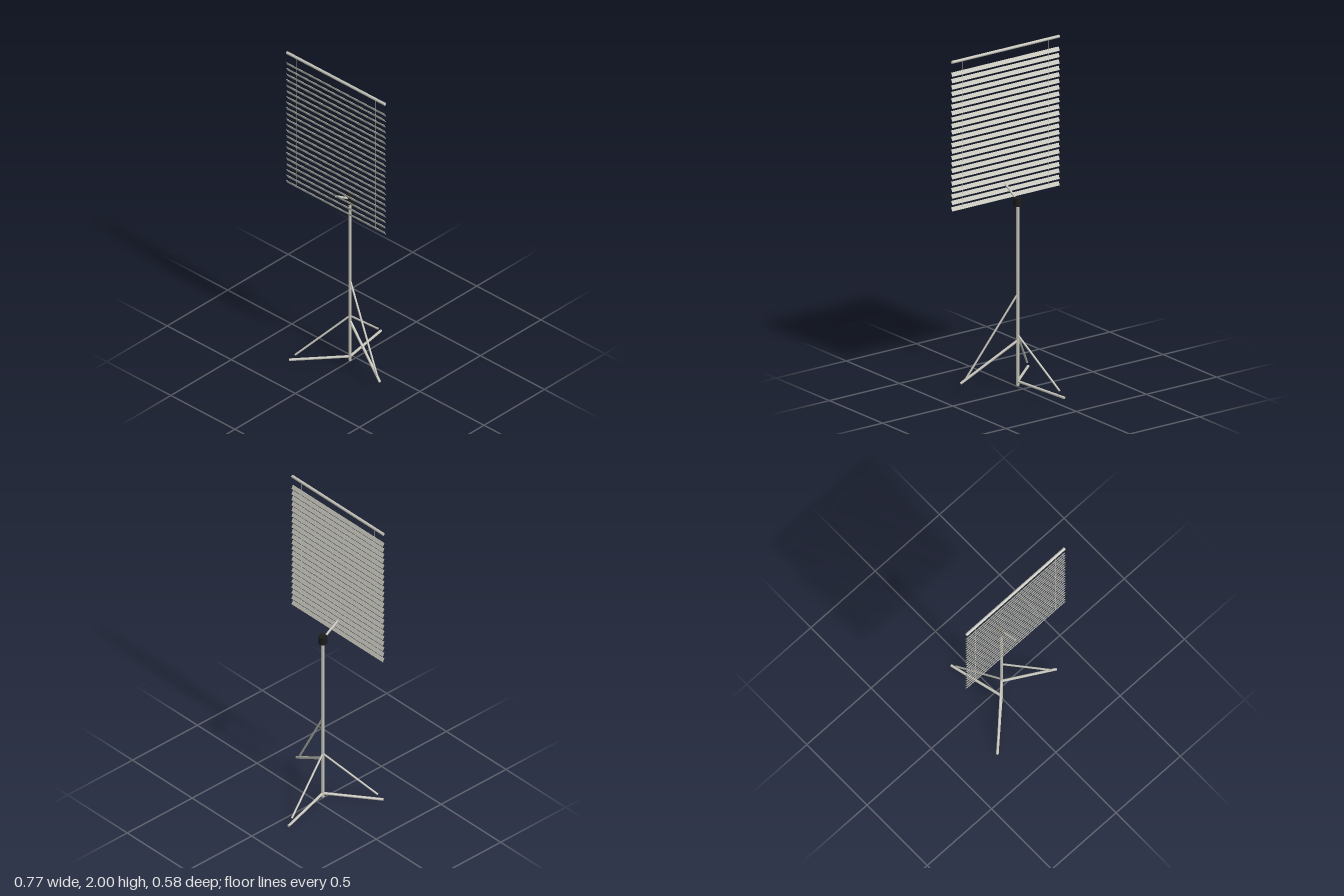
import * as THREE from 'three';

export function createModel() {
  const model = new THREE.Group();
  model.name = 'blindStand';

  const material = (name, color) => {
    const m = new THREE.MeshStandardMaterial({ color });
    m.name = name;
    return m;
  };
  const metal = material('warm grey metal', 0xc4c4ba);
  const black = material('black plastic', 0x1c1c1c);

  const POLE_Z = 0.048;
  const BLIND_Z = 0.164;
  const UP = new THREE.Vector3(0, 1, 0);

  // Round bar between two points
  function bar(name, from, to, radius, mat = metal, sides = 12) {
    const a = new THREE.Vector3(...from);
    const dir = new THREE.Vector3(...to).sub(a);
    const length = dir.length();
    const mesh = new THREE.Mesh(new THREE.CylinderGeometry(radius, radius, length, sides), mat);
    mesh.name = name;
    mesh.position.copy(a).addScaledVector(dir, 0.5);
    mesh.quaternion.setFromUnitVectors(UP, dir.normalize());
    model.add(mesh);
  }

  // Pole, clamp head and the arm that carries the blind
  bar('pole', [0, 0.008, POLE_Z], [0, 1.1, POLE_Z], 0.0095);
  bar('clampHead', [0, 1.085, POLE_Z], [0, 1.133, POLE_Z], 0.026, black);
  bar('supportArm', [0, 1.112, POLE_Z], [0, 1.185, BLIND_Z], 0.007);

  // Tripod: each leg has a foot bar and a brace
  const legs = [
    { name: 'left', hub: 0.278, foot: [0.33, 0.059, 0.15], top: 0.558, end: [0.3, 0.083, 0.141] },
    { name: 'right', hub: 0.033, foot: [-0.253, 0.008, 0.284], top: 0.311, end: [-0.228, 0.042, 0.261] },
    { name: 'back', hub: 0.033, foot: [-0.077, 0.008, -0.288], top: 0.311, end: [-0.069, 0.042, -0.255] },
  ];
  for (const leg of legs) {
    bar(leg.name + 'Leg', [0, leg.hub, POLE_Z], leg.foot, 0.008);
    bar(leg.name + 'Brace', [0, leg.top, POLE_Z], leg.end, 0.006);
  }

  // Top rail and the two hanging cords
  bar('topRail', [-0.383, 1.991, BLIND_Z], [0.383, 1.991, BLIND_Z], 0.009);
  for (const side of [-1, 1]) {
    bar('cord', [side * 0.309, 1.105, BLIND_Z], [side * 0.309, 1.991, BLIND_Z], 0.0012, metal, 6);
  }

  // Tilted slats, front edge raised
  const slats = new THREE.Group();
  slats.name = 'slats';
  const slatGeometry = new THREE.BoxGeometry(0.766, 0.025, 0.002);
  const count = 22;
  for (let i = 0; i < count; i++) {
    const slat = new THREE.Mesh(slatGeometry, metal);
    slat.name = 'slat';
    slat.position.set(0, 1.11 + (i * 0.807) / (count - 1), BLIND_Z);
    slat.rotation.x = 0.47;
    slats.add(slat);
  }
  model.add(slats);

  return model;
}
